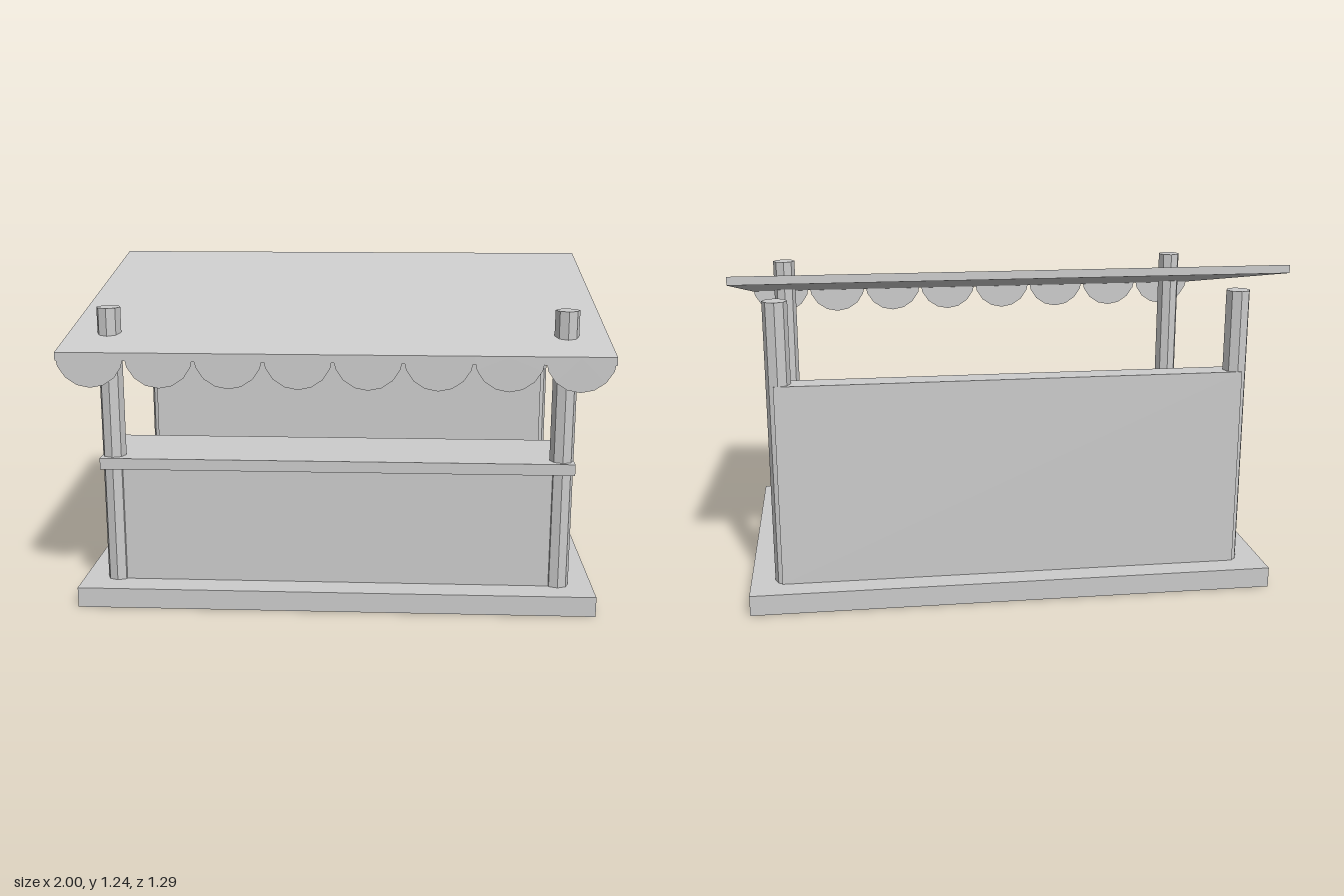
import * as THREE from 'three';

export function createModel() {
  const group = new THREE.Group();
  group.name = 'marketStall';
  const material = new THREE.MeshStandardMaterial({ color: 0xcccccc, flatShading: true });
  const clothMaterial = new THREE.MeshStandardMaterial({ color: 0xcccccc, side: THREE.DoubleSide });

  function add(name, geometry, mat = material) {
    const mesh = new THREE.Mesh(geometry, mat);
    mesh.name = name;
    group.add(mesh);
    return mesh;
  }

  // Box centred on x, given by its half width and its y and z ranges
  function slab(name, halfWidth, y0, y1, z0, z1) {
    add(name, new THREE.BoxGeometry(2 * halfWidth, y1 - y0, z1 - z0))
      .position.set(0, (y0 + y1) / 2, (z0 + z1) / 2);
  }

  const floorTop = 0.077;
  slab('floor', 0.982, 0, floorTop, -0.643, 0.57);
  slab('counterBody', 0.865, floorTop, 0.527, 0.16, 0.46);
  slab('counterTop', 0.893, 0.527, 0.57, 0.13, 0.494);
  slab('backWall', 0.865, floorTop, 0.835, -0.55, -0.46);

  // Four octagonal posts, the front pair passing through the roof
  const postTop = 1.138;
  for (const [name, z] of [['frontPost', 0.434], ['backPost', -0.505]]) {
    for (const side of [-1, 1]) {
      add(name, new THREE.CylinderGeometry(0.045, 0.045, postTop - floorTop, 8))
        .position.set(side * 0.848, (postTop + floorTop) / 2, z);
    }
  }

  // Sloping roof with upright ends: a box sheared along z
  const roofFront = 0.643, roofBack = -0.612;
  const roof = new THREE.BoxGeometry(2, 0.03, roofFront - roofBack);
  const p = roof.attributes.position;
  for (let i = 0; i < p.count; i++) {
    p.setY(i, p.getY(i) + (p.getZ(i) > 0 ? 0.988 : 1.229));
  }
  roof.computeVertexNormals();
  add('roof', roof).position.z = (roofFront + roofBack) / 2;

  // Row of half-round cloth scallops along the front edge
  for (let i = 0; i < 8; i++) {
    add('awningScallop', new THREE.CircleGeometry(0.125, 8, Math.PI, Math.PI), clothMaterial)
      .position.set(-0.875 + i * 0.25, 1.0, 0.645);
  }

  return group;
}
